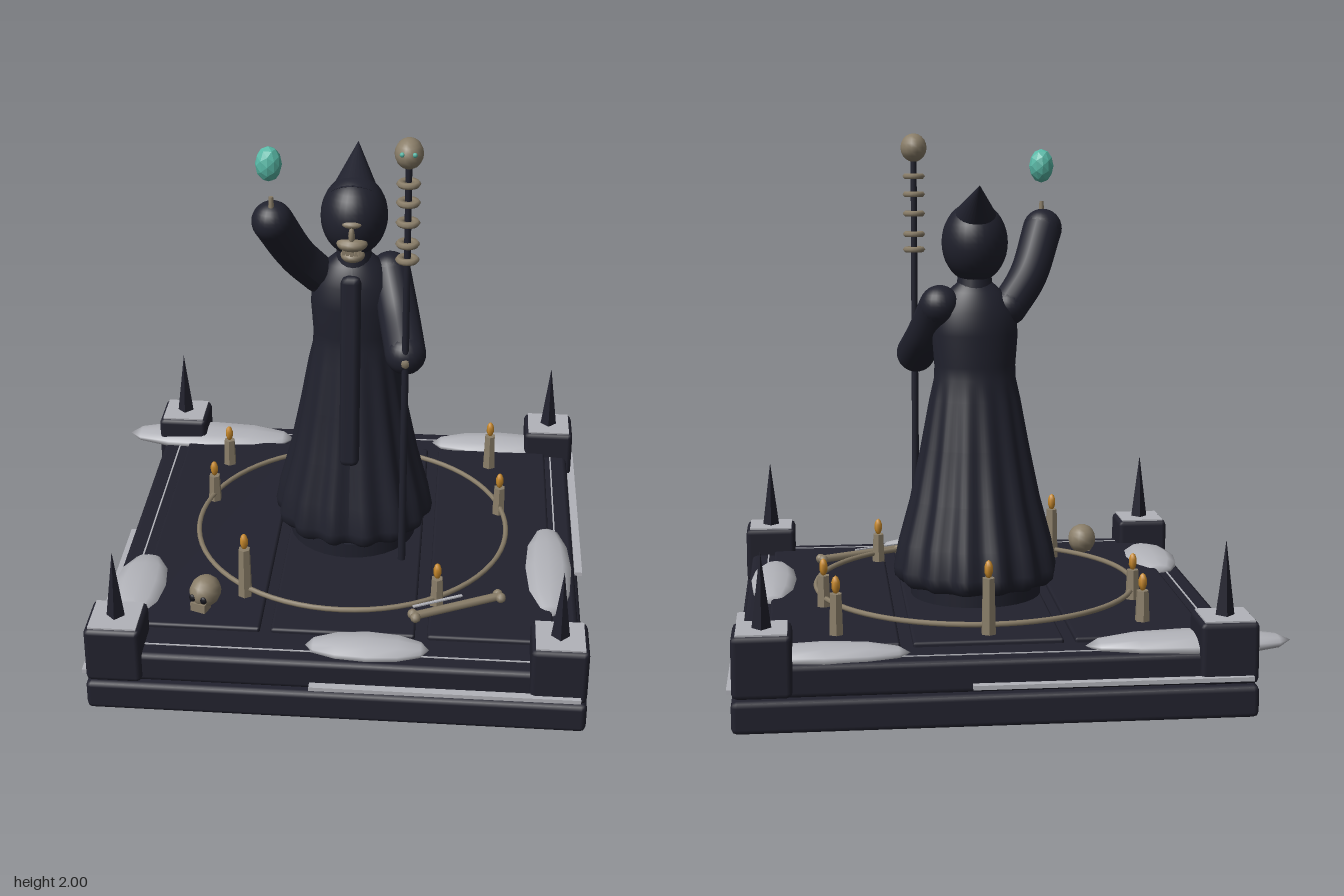
import * as THREE from 'three';
import { RoundedBoxGeometry } from 'three/addons/geometries/RoundedBoxGeometry.js';

export function createModel() {
  const model = new THREE.Group();
  model.name = 'hoodedFigureOnPlinth';
  const mat = (name, color) => Object.assign(new THREE.MeshStandardMaterial({ color }), { name });
  const stone = mat('dark stone', 0x22222e), robeMat = mat('robe cloth', 0x20212d),
    bone = mat('old bone', 0x8a7e69), snow = mat('pale frost', 0xb2b3b9),
    flameMat = mat('candle flame', 0xc98a2c), teal = mat('teal glow', 0x58b8a6),
    black = mat('black hollow', 0x14141c);

  const add = (name, geo, material, x = 0, y = 0, z = 0, parent = model) => {
    const m = new THREE.Mesh(geo, material);
    m.name = name;
    m.position.set(x, y, z);
    parent.add(m);
    return m;
  };
  const flat = (g) => { const f = g.index ? g.toNonIndexed() : g; f.computeVertexNormals(); return f; };
  const ball = (rx, ry, rz, w = 24, h = 16) => new THREE.SphereGeometry(1, w, h).scale(rx, ry, rz);
  const slab = (w, h, d, r = 0.02) => new RoundedBoxGeometry(w, h, d, 1, r);
  const CX = 0.06;

  // Plinth: two steps and three floor panels
  add('lowerStep', slab(1.81, 0.115, 1.81), stone, CX, 0.0575, 0);
  add('upperStep', slab(1.76, 0.115, 1.76), stone, CX, 0.1725, 0);
  [-0.47, 0.075, 0.615].forEach((x, i) =>
    add('floorPanel', slab([0.48, 0.53, 0.46][i], 0.05, 1.41, 0.01), stone, x, 0.222, 0));

  // Frost strips on each side, turned round the plinth
  for (let i = 0; i < 4; i++) {
    const side = new THREE.Group();
    side.name = 'frostSide';
    side.position.x = CX;
    side.rotation.y = i * Math.PI / 2;
    add('frostStrip', new THREE.BoxGeometry(0.97, 0.015, 0.03), snow, 0.395, 0.146, 0.905, side);
    add('frostLine', new THREE.BoxGeometry(1.4, 0.004, 0.006), snow, 0, 0.231, 0.81, side);
    model.add(side);
  }

  // Corner posts with pale caps and spikes
  for (const sx of [-1, 1]) for (const sz of [-1, 1]) {
    const post = new THREE.Group();
    post.name = 'cornerPost';
    post.position.set(CX + sx * 0.8, 0, sz * 0.8);
    add('postBlock', slab(0.205, 0.22, 0.205), stone, 0, 0.23, 0, post);
    add('postCap', new THREE.BoxGeometry(0.175, 0.006, 0.175), snow, 0, 0.341, 0, post);
    add('postSpike', flat(new THREE.ConeGeometry(0.034, 0.27, 4)), stone, 0, 0.475, 0, post);
    model.add(post);
  }

  // Frost drifts: pointed, flattened low-poly mounds [x, z, half length, half width, turn]
  for (const [x, z, len, wid, turn] of [
    [-0.62, -0.765, 0.365, 0.11, 0], [0.65, -0.78, 0.295, 0.09, 0], [0.838, 0.215, 0.315, 0.093, 1],
    [-0.72, 0.45, 0.225, 0.105, 1], [0.17, 0.775, 0.225, 0.085, 0]]) {
    const g = new THREE.SphereGeometry(1, 10, 6).rotateZ(Math.PI / 2).scale(len, 0.042, wid);
    add('frostDrift', g, snow, x, 0.236, z).rotation.y = turn * Math.PI / 2;
  }

  // Ritual ring and candles [x, z, flame tip height]
  add('floorRing', new THREE.TorusGeometry(0.613, 0.01, 6, 72).rotateX(Math.PI / 2), bone, CX, 0.28, -0.005);
  for (const [x, z, top] of [
    [0.068, -0.62, 0.515], [0.645, -0.19, 0.43], [0.413, 0.49, 0.425], [-0.31, 0.487, 0.515],
    [-0.525, -0.205, 0.425], [-0.505, -0.51, 0.425], [0.605, -0.57, 0.46]]) {
    const h = top - 0.065 - 0.245;
    add('candle', flat(new THREE.CylinderGeometry(0.023, 0.028, h, 6)), bone, x, 0.245 + h / 2, z);
    add('candleFlame', new THREE.SphereGeometry(0.016, 6, 5).scale(1, 2.1, 1), flameMat, x, top - 0.034, z);
  }

  // Skull on the floor
  const skull = new THREE.Group();
  skull.name = 'floorSkull';
  skull.position.set(-0.45, 0.305, 0.56);
  skull.rotation.y = -0.35;
  add('cranium', ball(0.058, 0.06, 0.066, 12, 10), bone, 0, 0, 0, skull);
  add('jaw', new THREE.BoxGeometry(0.06, 0.035, 0.05), bone, 0, -0.04, 0.04, skull);
  for (const s of [-1, 1]) add('eyeSocket', ball(0.014, 0.015, 0.008, 8, 6), black, s * 0.023, -0.004, 0.059, skull);
  model.add(skull);

  // Long bone and frost sliver beside it
  const longBone = new THREE.Group();
  longBone.name = 'longBone';
  longBone.position.set(0.49, 0.268, 0.53);
  longBone.rotation.y = 0.46;
  add('boneShaft', new THREE.CylinderGeometry(0.016, 0.016, 0.35, 8).rotateZ(Math.PI / 2), bone, 0, 0, 0, longBone);
  for (const ex of [-1, 1]) for (const ez of [-1, 1])
    add('boneKnob', ball(0.02, 0.02, 0.02, 8, 6), bone, ex * 0.175, 0, ez * 0.013, longBone);
  add('frostSliver', new THREE.BoxGeometry(0.2, 0.005, 0.012), snow, -0.07, 0.025, -0.022, longBone);
  model.add(longBone);

  // Robe: turned profile, pleated toward the hem and narrowed front to back
  const profile = [[0.001, 0.3], [0.27, 0.3], [0.295, 0.325], [0.3, 0.36], [0.283, 0.46], [0.242, 0.62], [0.203, 0.82],
    [0.172, 1.0], [0.156, 1.08], [0.154, 1.13], [0.163, 1.25], [0.155, 1.34], [0.105, 1.41], [0.06, 1.45]];
  const robe = new THREE.LatheGeometry(profile.map(([r, y]) => new THREE.Vector2(r, y)), 112);
  const p = robe.attributes.position;
  for (let i = 0; i < p.count; i++) {
    const x = p.getX(i), y = p.getY(i), z = p.getZ(i);
    const t = THREE.MathUtils.clamp((1.08 - y) / 0.75, 0, 1);
    const a = Math.atan2(z, x);
    const k = 1 + 0.045 * Math.sqrt(t) * (Math.cos(14 * a) + 0.35 * Math.cos(5 * a + 1));
    p.setXYZ(i, x * k, y, z * k * (0.74 + 0.2 * t) - 0.03 - 0.025 * t);
  }
  robe.computeVertexNormals();
  add('robe', robe, robeMat, CX, 0, 0);
  add('robeHem', new THREE.CylinderGeometry(0.25, 0.25, 0.06, 32), robeMat, CX, 0.28, -0.045);
  add('neck', new THREE.CylinderGeometry(0.06, 0.075, 0.12, 20), robeMat, CX, 1.44, -0.025);

  // Hanging stole down the front
  const stole = add('stole', slab(0.075, 0.76, 0.06, 0.025), robeMat, CX, 1.035, 0.155);
  stole.rotation.x = -0.085;

  // Hood with a swept-back point
  add('hood', ball(0.125, 0.152, 0.138, 32, 20), robeMat, CX, 1.595, -0.03);
  const aim = new THREE.Vector3(0, 0.165, -0.2);
  const hoodPoint = add('hoodPoint', new THREE.ConeGeometry(0.106, aim.length(), 28), robeMat, CX, 1.648 + 0.0825, -0.13);
  hoodPoint.quaternion.setFromUnitVectors(new THREE.Vector3(0, 1, 0), aim.clone().normalize());

  // Bony face showing from the hood; gaps form the sockets and mouth
  for (const [name, rx, ry, rz, y, z] of [
    ['brow', 0.042, 0.018, 0.03, 1.605, 0.086], ['noseBridge', 0.014, 0.045, 0.026, 1.565, 0.092],
    ['cheeks', 0.058, 0.028, 0.046, 1.525, 0.082], ['jawBone', 0.046, 0.026, 0.05, 1.466, 0.045]])
    add(name, ball(rx, ry, rz, 14, 10), bone, CX, y, z);
  for (let i = -2; i <= 2; i++)
    add('tooth', new THREE.BoxGeometry(0.011, 0.022, 0.012), bone, CX + i * 0.015, 1.494, 0.1 - Math.abs(i) * 0.006);

  // Sleeves: tube along a curve whose width swells toward the cuff, with rounded ends
  const sleeve = (name, pts, r0, r1) => {
    const curve = new THREE.CatmullRomCurve3(pts.map((q) => new THREE.Vector3(...q)));
    const n = 20, sides = 18;
    const g = new THREE.TubeGeometry(curve, n, 1, sides);
    const pos = g.attributes.position, v = new THREE.Vector3();
    for (let i = 0; i < pos.count; i++) {
      const t = Math.floor(i / (sides + 1)) / n, c = curve.getPointAt(t);
      v.fromBufferAttribute(pos, i).sub(c).multiplyScalar(r0 + (r1 - r0) * t).add(c);
      pos.setXYZ(i, v.x, v.y, v.z);
    }
    g.computeVertexNormals();
    add(name, g, robeMat);
    add(name + 'Shoulder', ball(r0, r0, r0), robeMat, ...pts[0]);
    add(name + 'Cuff', ball(r1, r1, r1), robeMat, ...pts[pts.length - 1]);
  };
  sleeve('leftSleeve', [[0.195, 1.36, -0.06], [0.235, 1.24, 0.07], [0.268, 1.15, 0.215]], 0.077, 0.076);
  sleeve('rightSleeve', [[-0.07, 1.35, -0.03], [-0.15, 1.46, 0.04], [-0.222, 1.635, 0.16]], 0.07, 0.076);
  add('rightFinger', new THREE.CylinderGeometry(0.008, 0.012, 0.06, 8), bone, -0.222, 1.71, 0.19);
  add('leftHand', ball(0.026, 0.03, 0.026, 12, 8), bone, 0.27, 1.145, 0.268);

  // Floating gem
  add('floatingGem', flat(new THREE.IcosahedronGeometry(1, 1).scale(0.048, 0.065, 0.046)), teal, -0.225, 1.875, 0.222);

  // Staff with stacked bone rings and a small skull head
  add('staffShaft', new THREE.CylinderGeometry(0.012, 0.015, 1.62, 10), robeMat, 0.27, 1.11, 0.272);
  for (const y of [1.835, 1.765, 1.69, 1.61, 1.55])
    add('staffRing', new THREE.TorusGeometry(0.029, 0.015, 6, 16).rotateX(Math.PI / 2).scale(1, 0.8, 1), bone, 0.27, y, 0.272);
  add('staffSkull', ball(0.051, 0.055, 0.063, 14, 10), bone, 0.27, 1.945, 0.27);
  for (const s of [-1, 1])
    add('staffEye', ball(0.009, 0.009, 0.008, 8, 6), teal, 0.27 + s * 0.022, 1.957, 0.324);

  return model;
}
